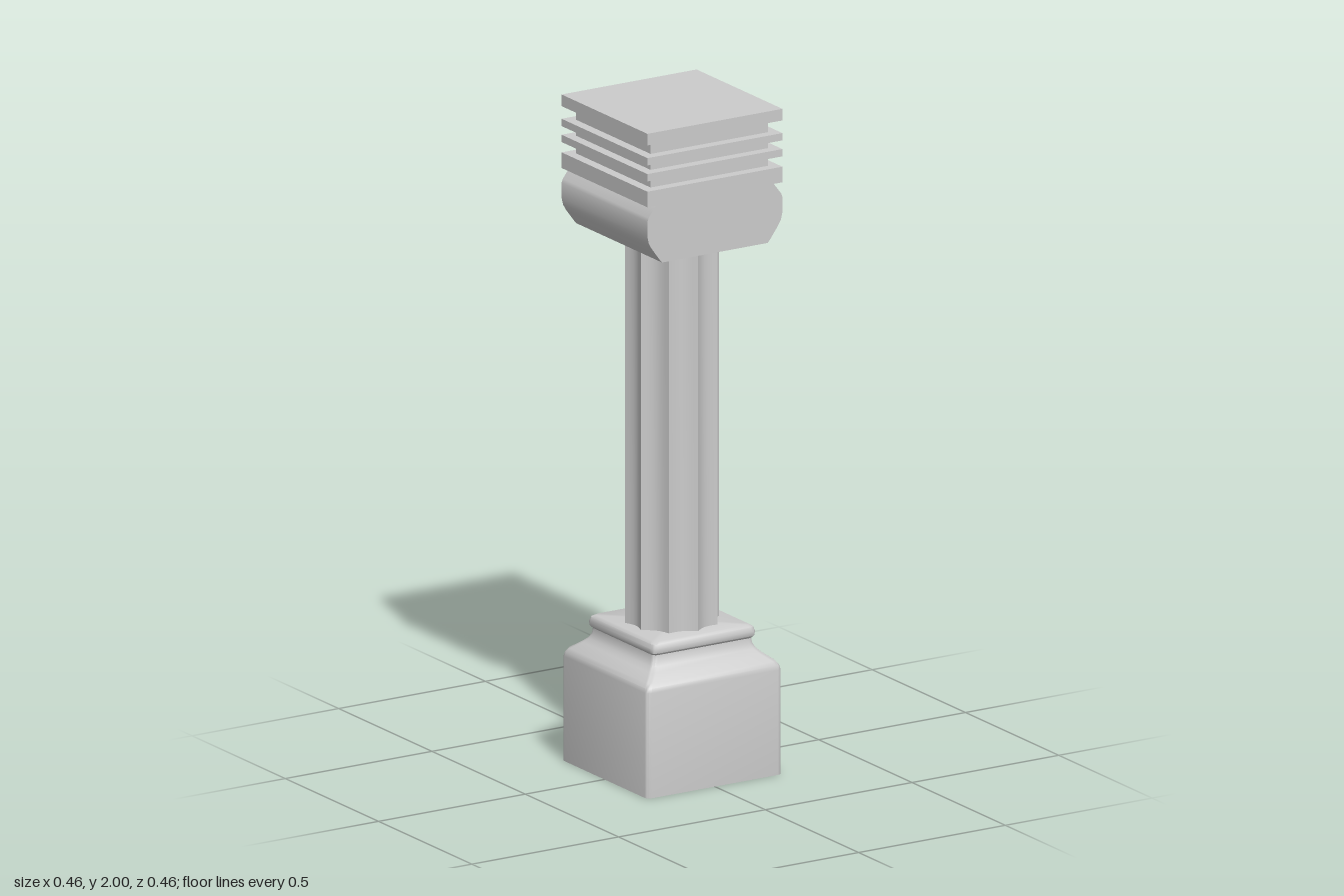
import * as THREE from 'three';
import { toCreasedNormals } from 'three/addons/utils/BufferGeometryUtils.js';

const HALF = 0.23;

export function createModel() {
  const model = new THREE.Group();
  const material = new THREE.MeshStandardMaterial({ color: 0xcccccc });
  const openMaterial = new THREE.MeshStandardMaterial({ color: 0xcccccc, side: THREE.DoubleSide });

  const add = (name, geometry, mat = material) => {
    const mesh = new THREE.Mesh(geometry, mat);
    mesh.name = name;
    model.add(mesh);
    return mesh;
  };
  const addSlab = (name, half, y0, y1) => {
    add(name, new THREE.BoxGeometry(half * 2, y1 - y0, half * 2)).position.y = (y0 + y1) / 2;
  };

  // Pedestal: rounded-square rings following a moulded profile, open underneath
  add('pedestal', pedestalGeometry(), openMaterial);

  // Shaft: ten shallow concave flutes with ridges facing front and back
  const flutes = 10, steps = 6, radius = 0.14, depth = 0.012;
  const outline = [];
  for (let i = 0; i < flutes; i++) {
    const a = Math.PI / 2 + (i / flutes) * Math.PI * 2;
    const b = a + (Math.PI * 2) / flutes;
    for (let j = 0; j < steps; j++) {
      const t = j / steps;
      const p = new THREE.Vector2(Math.cos(a), Math.sin(a))
        .lerp(new THREE.Vector2(Math.cos(b), Math.sin(b)), t).multiplyScalar(radius);
      outline.push(p.setLength(p.length() - depth * 4 * t * (1 - t)));
    }
  }
  const shaft = new THREE.ExtrudeGeometry(new THREE.Shape(outline), { depth: 1.165, bevelEnabled: false });
  shaft.rotateX(-Math.PI / 2).translate(0, 0.442, 0);
  add('shaft', toCreasedNormals(shaft, 0.5));

  // Capital: rounded bolster running front to back
  const side = [[0.18, 1.605], [0.19, 1.617], [0.215, 1.651], [0.225, 1.668], [HALF, 1.69],
    [HALF, 1.735], [0.226, 1.746], [0.2, 1.78]];
  const points = [...side, ...side.map(([x, y]) => [-x, y]).reverse()].map(([x, y]) => new THREE.Vector2(x, y));
  const bolster = new THREE.ExtrudeGeometry(new THREE.Shape(points), { depth: HALF * 2, bevelEnabled: false });
  bolster.translate(0, 0, -HALF);
  add('capitalBolster', toCreasedNormals(bolster, 0.6));

  // Stacked square plates around a narrower core
  addSlab('capitalCore', 0.2, 1.8, 1.98);
  [[1.779, 1.826], [1.857, 1.879], [1.905, 1.927], [1.965, 2]]
    .forEach(([y0, y1], i) => addSlab('capitalPlate' + (i + 1), HALF, y0, y1));

  return model;
}

function pedestalGeometry() {
  // Half width and height of each ring
  const profile = [[HALF, 0], [HALF, 0.315], [0.227, 0.328], [0.219, 0.34], [0.192, 0.361], [0.179, 0.374],
    [0.171, 0.389], [0.169, 0.405], [0.176, 0.412], [0.177, 0.425], [0.173, 0.438], [0.163, 0.444]];
  const corner = 0.015, arc = 3, count = 4 * (arc + 1);
  const positions = [], index = [];
  for (const [half, y] of profile) {
    for (let q = 0; q < 4; q++) {
      const mid = Math.PI / 4 + q * Math.PI / 2;
      const cx = Math.sign(Math.cos(mid)) * (half - corner);
      const cz = Math.sign(Math.sin(mid)) * (half - corner);
      for (let k = 0; k <= arc; k++) {
        const a = (q + k / arc) * Math.PI / 2;
        positions.push(cx + corner * Math.cos(a), y, cz + corner * Math.sin(a));
      }
    }
  }
  for (let r = 0; r < profile.length - 1; r++) {
    for (let i = 0; i < count; i++) {
      const a = r * count + i, b = r * count + (i + 1) % count;
      index.push(a, a + count, b, b, a + count, b + count);
    }
  }
  // Flat top
  const last = (profile.length - 1) * count;
  positions.push(0, profile[profile.length - 1][1], 0);
  for (let i = 0; i < count; i++) index.push(last + count, last + (i + 1) % count, last + i);

  const geometry = new THREE.BufferGeometry();
  geometry.setAttribute('position', new THREE.Float32BufferAttribute(positions, 3));
  geometry.setIndex(index);
  return toCreasedNormals(geometry, 0.75);
}
